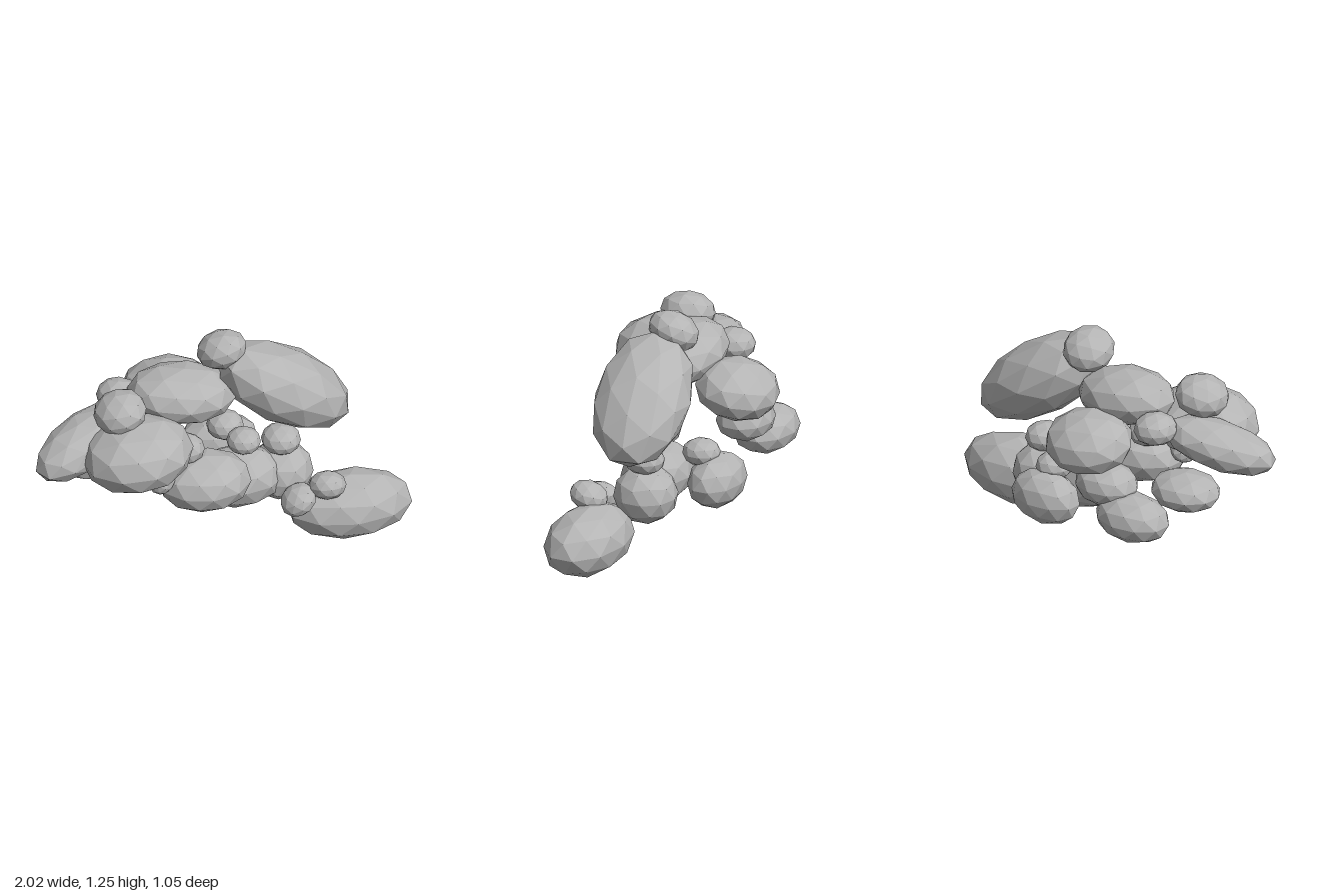
import * as THREE from 'three';

export function createModel() {
  const group = new THREE.Group();
  group.name = 'lobedCluster';
  const grey = new THREE.MeshStandardMaterial({ color: 0xb4b4b4, flatShading: true });
  grey.name = 'grey';
  // faceted ball turned so that a corner points straight up
  const ball = new THREE.IcosahedronGeometry(1, 1);
  ball.rotateZ(-Math.atan(2 / (1 + Math.sqrt(5))));

  // a lobe is a stretched faceted ball, tilted in degrees where needed
  function lobe(name, centre, halfSize, { pitch = 0, yaw = 0, roll = 0 } = {}) {
    const mesh = new THREE.Mesh(ball, grey);
    mesh.name = name;
    mesh.position.set(...centre);
    mesh.scale.set(...halfSize);
    mesh.rotation.set(...[pitch, yaw, roll].map(THREE.MathUtils.degToRad));
    group.add(mesh);
  }

  // a bud is a small lobe that is always slightly flattened and a little deeper than wide
  function bud(name, centre, radius, tilt) {
    lobe(name, centre, [radius, radius * 0.75, radius * 1.05], tilt);
  }

  // upper canopy
  lobe('upperRightLobe', [0.365, 0.88, -0.043], [0.42, 0.2, 0.258], { yaw: 10, roll: -34 });
  lobe('upperMiddleLobe', [-0.19, 0.94, -0.01], [0.292, 0.148, 0.212], { roll: -6 });
  lobe('upperFrontLobe', [-0.49, 0.79, 0.265], [0.298, 0.183, 0.262], { yaw: 10, roll: 4 });
  lobe('upperSideLobe', [-0.745, 0.79, 0.1], [0.31, 0.125, 0.165], { yaw: 30, roll: 15 });
  lobe('upperBackLobe', [-0.195, 0.785, -0.31], [0.245, 0.15, 0.222], { pitch: -14 });

  // lower cluster
  lobe('lowerSideLobe', [-0.665, 0.57, -0.08], [0.197, 0.102, 0.17]);
  lobe('lowerBackSideLobe', [-0.51, 0.45, -0.32], [0.22, 0.125, 0.162]);
  lobe('middleBackLobe', [-0.31, 0.575, -0.3], [0.182, 0.115, 0.15]);
  lobe('lowerFrontLobe', [-0.115, 0.515, 0.2], [0.247, 0.152, 0.202]);
  lobe('lowerMiddleLobe', [0.11, 0.37, 0], [0.245, 0.162, 0.18]);
  lobe('lowerBackLobe', [0.085, 0.38, -0.335], [0.21, 0.145, 0.14]);
  lobe('lowerRightLobe', [0.345, 0.34, -0.05], [0.177, 0.155, 0.17]);
  lobe('footLobe', [0.68, 0.18, 0.11], [0.336, 0.178, 0.205]);

  // buds on the canopy
  bud('crownBud', [0.035, 1.148, -0.055], 0.135, { pitch: -20, roll: 14 });
  bud('leftBud', [-0.56, 0.995, 0.165], 0.142, { roll: 15 });
  bud('sideBud', [-0.5, 0.89, -0.13], 0.115);

  // buds among the lower lobes
  bud('rightBud', [0.35, 0.535, -0.045], 0.104);
  bud('backBud', [0.1, 0.525, -0.25], 0.098);
  bud('middleBud', [0.14, 0.588, 0], 0.09);
  bud('innerBud', [-0.21, 0.69, 0.14], 0.107, { pitch: -10 });
  bud('frontBud', [-0.355, 0.582, 0.25], 0.076, { roll: 40 });
  bud('lowerFootBud', [0.387, 0.302, 0.19], 0.1, { roll: 30 });
  bud('upperFootBud', [0.545, 0.362, 0.18], 0.1, { pitch: -18 });

  return group;
}
